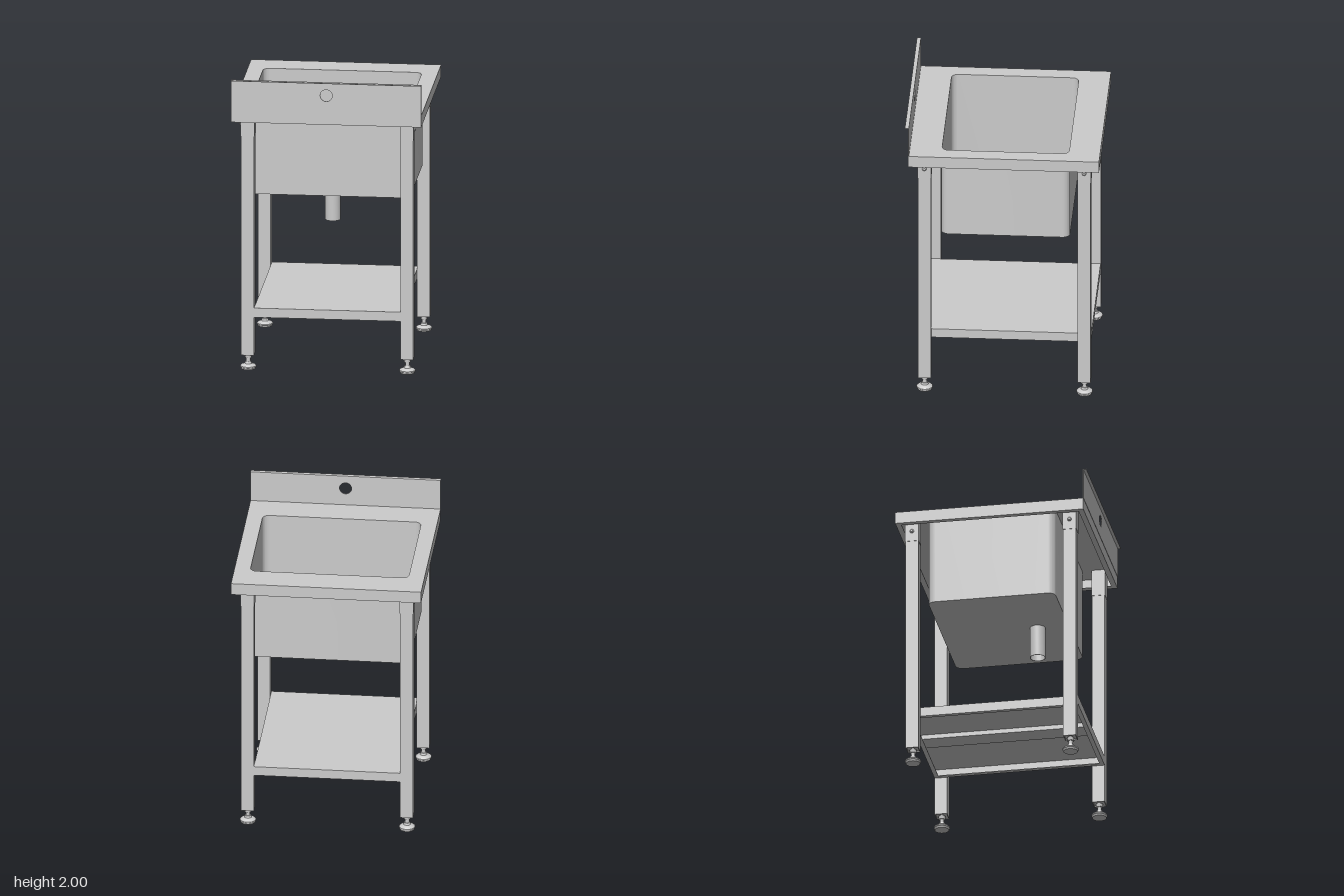
import * as THREE from 'three';
import { toCreasedNormals } from 'three/addons/utils/BufferGeometryUtils.js';

const steel = new THREE.MeshStandardMaterial({ color: 0xcccccc, side: THREE.DoubleSide });

function add(parent, name, geometry, x = 0, y = 0, z = 0) {
  const mesh = new THREE.Mesh(geometry, steel);
  mesh.name = name;
  mesh.position.set(x, y, z);
  parent.add(mesh);
  return mesh;
}

// Rectangle outline with optional rounded corners
function outline(x0, x1, y0, y1, r = 0, Type = THREE.Shape) {
  const s = new Type();
  if (!r) {
    s.moveTo(x0, y0); s.lineTo(x1, y0); s.lineTo(x1, y1); s.lineTo(x0, y1);
  } else {
    s.moveTo(x0 + r, y0);
    s.lineTo(x1 - r, y0); s.absarc(x1 - r, y0 + r, r, -Math.PI / 2, 0);
    s.lineTo(x1, y1 - r); s.absarc(x1 - r, y1 - r, r, 0, Math.PI / 2);
    s.lineTo(x0 + r, y1); s.absarc(x0 + r, y1 - r, r, Math.PI / 2, Math.PI);
    s.lineTo(x0, y0 + r); s.absarc(x0 + r, y0 + r, r, Math.PI, Math.PI * 1.5);
  }
  s.closePath();
  return s;
}

function circle(x, y, r) {
  const p = new THREE.Path();
  p.absarc(x, y, r, 0, Math.PI * 2);
  return p;
}

// Horizontal sheet drawn in x and z, from height y0 to y1, with an optional hole
function sheet(shape, y0, y1, hole) {
  if (hole) shape.holes.push(hole);
  const g = new THREE.ExtrudeGeometry(shape, { depth: y1 - y0, bevelEnabled: false, curveSegments: 12 });
  g.rotateX(Math.PI / 2).translate(0, y1, 0);
  return toCreasedNormals(g, 0.6);
}

// Rectangular frame of the given width, measured inwards
function frame(x0, x1, z0, z1, width, y0, y1) {
  return sheet(outline(x0, x1, z0, z1), y0, y1,
    outline(x0 + width, x1 - width, z0 + width, z1 - width, 0, THREE.Path));
}

function lathe(points, segments = 32) {
  const g = new THREE.LatheGeometry(points.map(([r, y]) => new THREE.Vector2(r, y)), segments);
  return toCreasedNormals(g, 0.5);
}

function makeTop() {
  const g = new THREE.Group();
  g.name = 'worktop';
  const T = 0.006;
  add(g, 'topPlate', sheet(outline(-0.63, 0.63, -0.64, 0.62), 1.79 - T, 1.79,
    outline(-0.525, 0.525, -0.435, 0.405, 0.045, THREE.Path)));
  add(g, 'skirt', frame(-0.63, 0.63, -0.64, 0.62, T, 1.71, 1.79 - T));
  add(g, 'skirtReturn', frame(-0.63 + T, 0.63 - T, -0.64 + T, 0.62 - T, 0.03, 1.71, 1.715));

  // Upstand with tap hole and folded top lip
  const panel = outline(-0.63, 0.63, 1.79, 2);
  panel.holes.push(circle(0, 1.91, 0.04));
  add(g, 'upstand', new THREE.ExtrudeGeometry(panel,
    { depth: 0.006, bevelEnabled: false, curveSegments: 24 }), 0, 0, 0.616);
  add(g, 'upstandLip', new THREE.BoxGeometry(1.26, 0.005, 0.02), 0, 1.9975, 0.632);
  return g;
}

function makeBasin() {
  const g = new THREE.Group();
  g.name = 'basin';
  add(g, 'basinWalls', sheet(outline(-0.531, 0.531, -0.44, 0.41, 0.05), 1.165, 1.785,
    outline(-0.525, 0.525, -0.435, 0.405, 0.045, THREE.Path)));
  add(g, 'basinFloor', sheet(outline(-0.526, 0.526, -0.436, 0.406, 0.045), 1.165, 1.171,
    circle(0, 0.2, 0.051)));
  add(g, 'drainFlange', lathe([[0.051, 1.17], [0.051, 1.174], [0.075, 1.174], [0.08, 1.17]]), 0, 0, 0.2);
  add(g, 'drainPipe', lathe([[0.048, 1.172], [0.048, 0.95], [0.052, 0.95], [0.052, 1.172]]), 0, 0, 0.2);
  return g;
}

function makeShelf() {
  const g = new THREE.Group();
  g.name = 'shelf';
  const x = 0.485, z0 = -0.58, z1 = 0.56;
  add(g, 'shelfPlate', sheet(outline(-x, x, z0, z1), 0.419, 0.425));
  add(g, 'shelfSkirt', frame(-x, x, z0, z1, 0.005, 0.362, 0.419));
  add(g, 'shelfReturn', frame(-x + 0.005, x - 0.005, z0 + 0.005, z1 - 0.005, 0.025, 0.362, 0.367));
  add(g, 'stiffener', new THREE.BoxGeometry(0.14, 0.03, z1 - z0 - 0.02), 0, 0.404, (z0 + z1) / 2);
  return g;
}

// One leg; side is +1 or -1 and points the bolt outwards
function makeLeg(side) {
  const g = new THREE.Group();
  g.name = 'leg';
  const h = 0.0425;
  add(g, 'legTube', frame(-h, h, -h, h, 0.006, 0.1, 1.7));
  add(g, 'legPlug', new THREE.BoxGeometry(0.074, 0.01, 0.074), 0, 0.112, 0);
  add(g, 'topSleeve', frame(-h - 0.003, h + 0.003, -h - 0.003, h + 0.003, 0.004, 1.6, 1.785));
  const bolt = add(g, 'bolt', lathe([[0, 0.014], [0.008, 0.012], [0.014, 0.005], [0.014, 0]], 20), side * 0.044, 1.67, 0);
  bolt.rotation.z = -side * Math.PI / 2;
  add(g, 'nut', new THREE.CylinderGeometry(0.024, 0.024, 0.024, 6).toNonIndexed(), 0, 0.088, 0);
  add(g, 'stem', new THREE.CylinderGeometry(0.014, 0.014, 0.07, 20), 0, 0.075, 0);
  add(g, 'foot', lathe([[0, 0], [0.047, 0], [0.05, 0.01], [0.053, 0.013], [0.053, 0.021],
    [0.044, 0.029], [0.024, 0.036], [0.02, 0.05], [0, 0.05]]));
  return g;
}

export function createModel() {
  const model = new THREE.Group();
  model.name = 'sinkTable';
  model.add(makeTop(), makeBasin(), makeShelf());
  for (const side of [-1, 1]) {
    for (const z of [0.5175, -0.5385]) {
      const leg = makeLeg(side);
      leg.position.set(side * 0.5275, 0, z);
      model.add(leg);
    }
  }
  return model;
}
